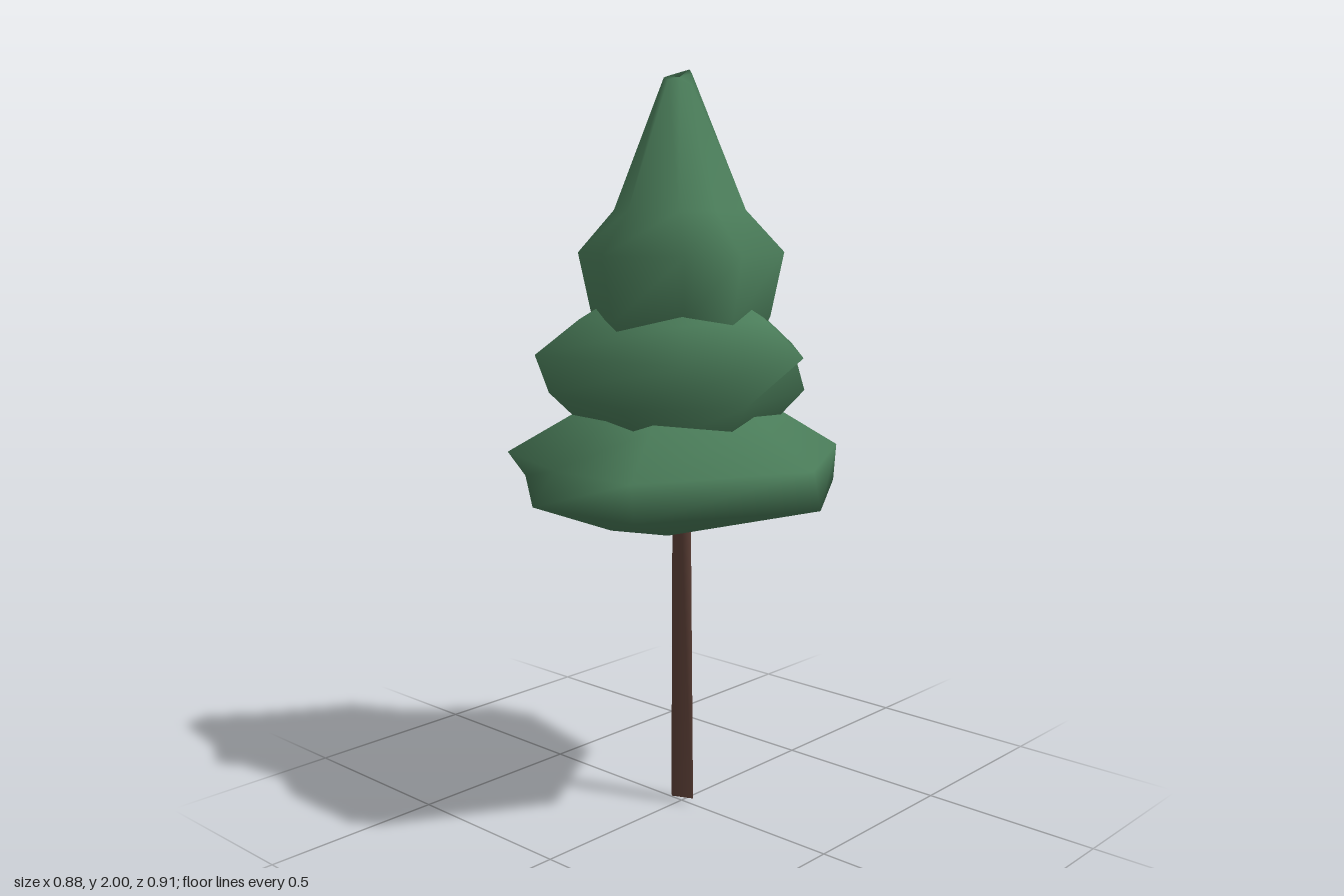
import * as THREE from 'three';

const leafGreen = new THREE.MeshStandardMaterial({ color: 0x4a7c59 });
leafGreen.name = 'leaf green';
const barkBrown = new THREE.MeshStandardMaterial({ color: 0x5d4037 });
barkBrown.name = 'bark brown';

// A ring is a loop of [x, z] corners at a height, anticlockwise from above.
const ring = (y, points) => points.map(([x, z]) => [x, y, z]);
const shrink = (y, points, s) => ring(y, points.map(([x, z]) => [x * s, z * s]));

// Closed, smooth-shaded skin through rings with equal corner counts.
function loft(name, rings, material) {
  const n = rings[0].length, last = rings.length - 1;
  const corners = rings.flat(), index = [];
  const middle = (r) => [0, 1, 2].map((a) => r.reduce((sum, p) => sum + p[a], 0) / n);
  const bottom = corners.push(middle(rings[0])) - 1;
  const top = corners.push(middle(rings[last])) - 1;
  for (let i = 0; i < n; i++) {
    const j = (i + 1) % n;
    for (let k = 0; k < last; k++) {
      const a = k * n + i, b = k * n + j;
      index.push(a, b, b + n, a, b + n, a + n);
    }
    index.push(j, i, bottom, last * n + i, last * n + j, top);
  }
  const geometry = new THREE.BufferGeometry();
  geometry.setAttribute('position', new THREE.Float32BufferAttribute(corners.flat(), 3));
  geometry.setIndex(index);
  geometry.computeVertexNormals();
  const mesh = new THREE.Mesh(geometry, material);
  mesh.name = name;
  return mesh;
}

export function createModel() {
  const tree = new THREE.Group();
  tree.name = 'tree';

  // Trunk: a thin blade at the foot that turns crosswise under the leaves
  tree.add(loft('trunk', [
    [[0.004, 0.015, 0.04], [0.004, 0, -0.04], [-0.004, 0.01, -0.035], [-0.004, 0.02, 0.04]],
    ring(0.9, [[0.02, 0.015], [0.02, -0.015], [-0.02, -0.015], [-0.02, 0.015]]),
  ], barkBrown));

  // Wide lower tier
  const lowRim = [[0.36, 0.24], [0.435, -0.11], [0.245, -0.385], [-0.18, -0.43],
    [-0.44, -0.11], [-0.4, 0.21], [0.02, 0.455]];
  const lowShoulder = [[0.365, 0.245], [0.425, -0.185], [0.085, -0.455], [-0.325, -0.335],
    [-0.42, -0.05], [-0.415, 0.215], [0.01, 0.44]];
  tree.add(loft('lowerFoliage', [
    ring(0.8, [[0.11, 0.08], [0.19, -0.06], [0.12, -0.21], [-0.06, -0.22],
      [-0.19, -0.08], [-0.13, 0.07], [0, 0.1]]),
    ring(0.9, lowRim),
    ring(1.0, lowShoulder),
    shrink(1.1, lowShoulder, 0.63),
    shrink(1.18, lowShoulder, 0.35),
  ], leafGreen));

  // Middle tier, its two rims turned against each other
  const midRim = [[0.25, 0.22], [0.325, -0.115], [0.12, -0.34], [-0.25, -0.25],
    [-0.33, 0.1], [-0.1, 0.31]];
  const midShoulder = [[0.345, 0.1], [0.29, -0.1], [0.2, -0.34], [-0.325, -0.22],
    [-0.265, 0.25], [0.09, 0.34]];
  tree.add(loft('middleFoliage', [
    shrink(1.04, midRim, 0.65),
    ring(1.16, midRim),
    ring(1.27, midShoulder),
    shrink(1.36, midShoulder, 0.7),
    shrink(1.43, midShoulder, 0.4),
  ], leafGreen));

  // Top tier, closing to a short ridge at the peak
  const topRim = [[0.2, 0.185], [0.27, -0.13], [0, -0.3], [-0.185, -0.2],
    [-0.28, -0.015], [-0.18, 0.175], [-0.05, 0.25]];
  tree.add(loft('topFoliage', [
    shrink(1.27, topRim, 0.7),
    shrink(1.36, topRim, 0.87),
    ring(1.53, topRim),
    ring(1.64, [[0.13, 0.11], [0.175, -0.07], [0.02, -0.18], [-0.12, -0.13],
      [-0.19, -0.01], [-0.13, 0.11], [-0.04, 0.155]]),
    [[0.05, 1.96, -0.008], [0.055, 1.99, -0.014], [0.05, 2, -0.018], [-0.03, 1.98, -0.02],
      [-0.05, 1.975, -0.016], [-0.04, 1.97, -0.01], [0, 1.97, -0.006]],
  ], leafGreen));

  return tree;
}
